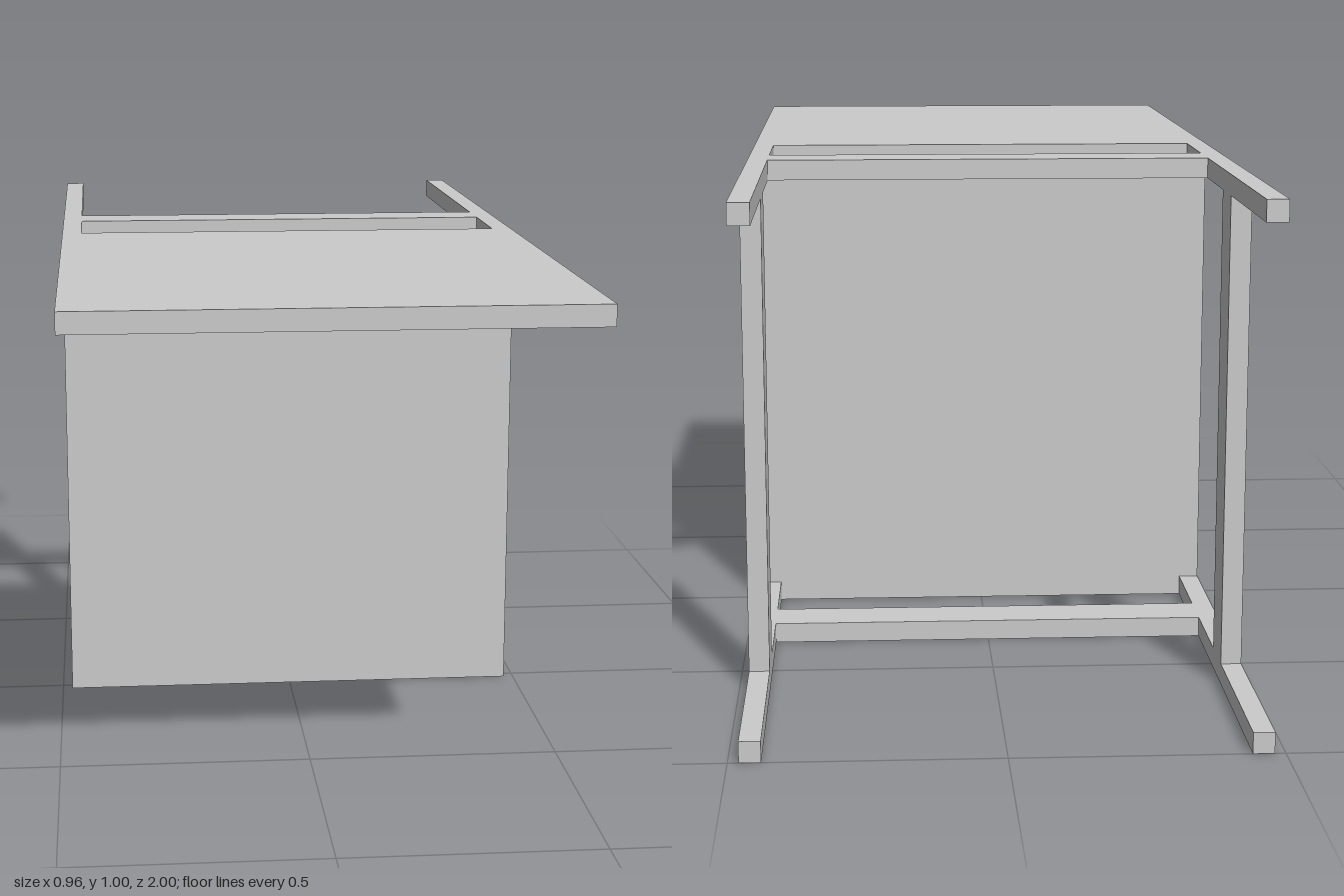
import * as THREE from 'three';

const W = 0.96; // overall width
const T = 0.04; // board thickness
const H = 1; // overall height

export function createModel() {
  const group = new THREE.Group();
  const material = new THREE.MeshStandardMaterial({ color: 0xcccccc, flatShading: true });

  // Box given by its [min, max] range on each axis
  const addBox = (name, [x0, x1], [y0, y1], [z0, z1]) => {
    const mesh = new THREE.Mesh(new THREE.BoxGeometry(x1 - x0, y1 - y0, z1 - z0), material);
    mesh.position.set((x0 + x1) / 2, (y0 + y1) / 2, (z0 + z1) / 2);
    mesh.name = name;
    group.add(mesh);
  };

  const half = W / 2;
  const inner = half - T;

  // Solid top board overhanging to the front, and the upright panel beneath it
  addBox('topBoard', [-half, half], [H - T, H], [-0.02, 1]);
  addBox('uprightPanel', [-half, half], [0, H - T], [-0.02, 0.02]);

  // Upper and lower frames: two side rails joined by a flat crossbar
  for (const [level, y] of [['lower', 0], ['upper', H - T]]) {
    addBox(level + 'Crossbar', [-inner, inner], [y, y + T], [-0.32, -0.22]);
    for (const [side, x] of [['Left', inner], ['Right', -half]]) {
      addBox(level + 'Rail' + side, [x, x + T], [y, y + T], [-1, -0.02]);
    }
  }

  // Posts between the upper and lower rails
  for (const [side, x] of [['Left', inner], ['Right', -half]]) {
    addBox('post' + side, [x, x + T], [T, H - T], [-0.62, -0.52]);
  }

  return group;
}
